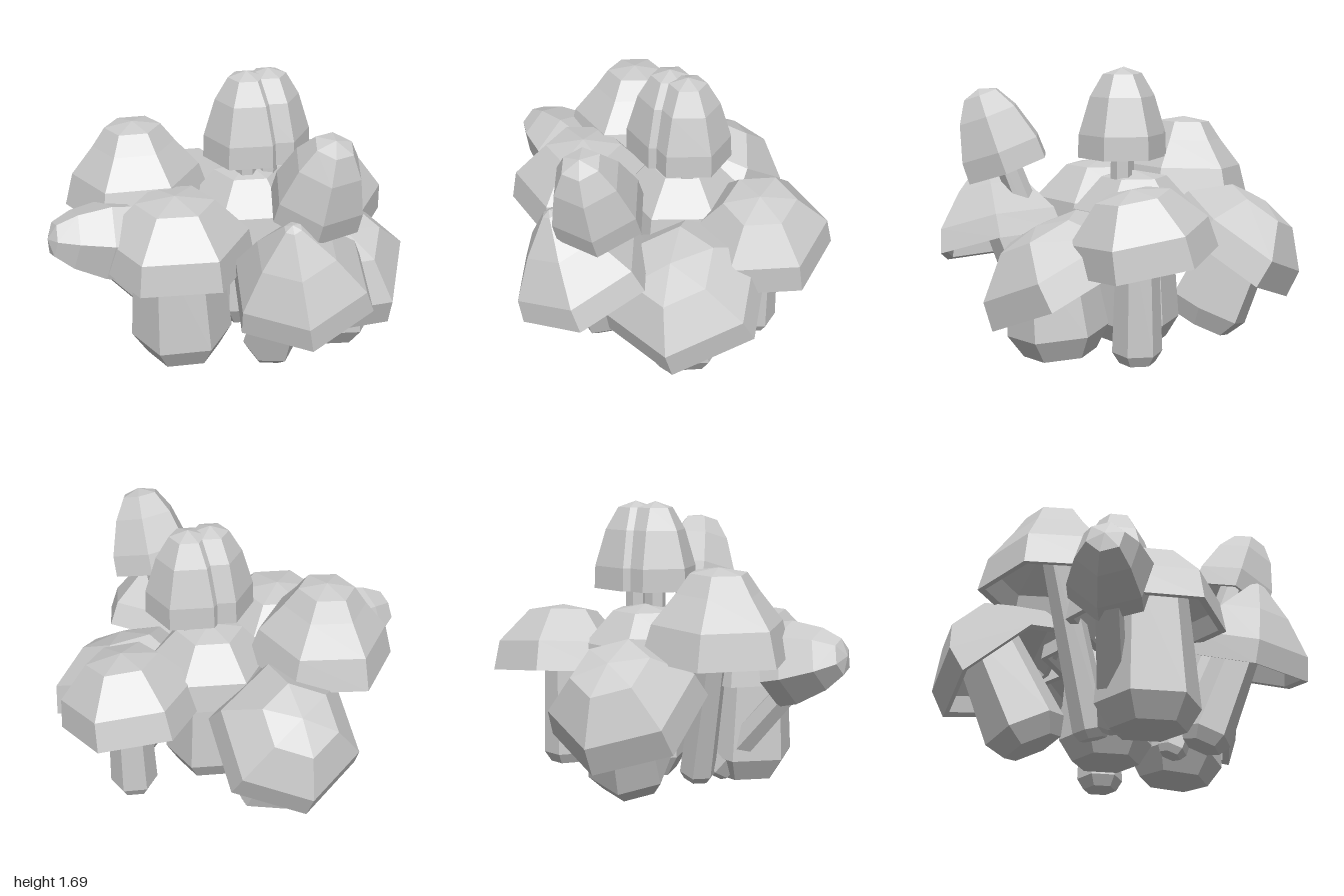
import * as THREE from 'three';

const material = new THREE.MeshStandardMaterial({ color: 0xcccccc, flatShading: true });
const UP = new THREE.Vector3(0, 1, 0);
const SIDES = 6;
const vec = (a) => new THREE.Vector3(...a);

// Outer cap profiles as [radius, height] fractions, from rim to tip
const dome = [[1, 0], [0.93, 0.43], [0.5, 0.91], [0, 1]];
const bell = [[1, 0], [0.87, 0.39], [0.56, 0.72], [0.38, 0.94], [0, 1]];
const tall = [[1, 0], [0.98, 0.26], [0.72, 0.68], [0.42, 0.93], [0, 1]];
const cone = [[1, 0], [0.93, 0.26], [0.55, 0.64], [0.12, 0.96], [0, 1]];
// Hollow underside, from the ceiling out to the inner rim
const underside = [[0, 0.55], [0.42, 0.52], [0.81, 0.25], [0.9, 0.01]];

// Six-sided solid of revolution standing at a point along an axis
function turned(name, points, at, axis, spin = 0) {
  const geometry = new THREE.LatheGeometry(points.map(([r, y]) => new THREE.Vector2(r, y)), SIDES);
  const mesh = new THREE.Mesh(geometry.rotateY(spin), material);
  mesh.name = name;
  mesh.position.copy(at);
  mesh.quaternion.setFromUnitVectors(UP, axis);
  return mesh;
}

// rim: centre of the cap's rim; tilt: its axis; foot: base of the stem
function mushroom(name, profile, { rim, r, h, tilt = [0, 1, 0], spin, foot, stemR }) {
  const group = new THREE.Group();
  group.name = name;
  const centre = vec(rim);
  const axis = vec(tilt).normalize();
  const capPoints = [...underside, ...profile].map(([a, b]) => [a * r, b * h]);
  group.add(turned('cap', capPoints, centre, axis, spin));

  // Stem with a chamfered foot, ending inside the cap
  const base = vec(foot);
  const stemAxis = centre.clone().addScaledVector(axis, 0.57 * h).sub(base);
  const length = stemAxis.length();
  const stemPoints = [[0, 0], [0.72 * stemR, 0], [stemR, 0.45 * stemR], [0.8 * stemR, length], [0, length]];
  group.add(turned('stem', stemPoints, base, stemAxis.normalize()));
  return group;
}

export function createModel() {
  const model = new THREE.Group();
  model.name = 'mushroomCluster';

  // Upright domes
  model.add(mushroom('frontMushroom', dome, {
    rim: [-0.2, 0.63, 0.5], r: 0.465, h: 0.425, foot: [-0.18, 0.01, 0.48], stemR: 0.305,
  }));
  model.add(mushroom('centreMushroom', dome, {
    rim: [0, 0.65, -0.1], r: 0.4, h: 0.4, foot: [0, 0.01, -0.1], stemR: 0.28,
  }));
  model.add(mushroom('backMushroom', dome, {
    rim: [0.29, 0.6, -0.57], r: 0.43, h: 0.42, tilt: [0.18, 1, 0.06],
    foot: [0.32, 0.01, -0.54], stemR: 0.145,
  }));

  // Domes leaning outward
  model.add(mushroom('rightWideMushroom', dome, {
    rim: [0.51, 0.41, -0.13], r: 0.52, h: 0.4, tilt: [0.37, 0.88, 0.28], spin: 0.25,
    foot: [0.55, 0.01, -0.1], stemR: 0.3,
  }));
  model.add(mushroom('backLeftMushroom', dome, {
    rim: [-0.57, 0.5, -0.32], r: 0.46, h: 0.41, tilt: [-0.42, 0.8, -0.38], spin: 0.79,
    foot: [-0.41, 0.06, -0.27], stemR: 0.25,
  }));

  // Bell and pointed caps
  model.add(mushroom('leftBellMushroom', bell, {
    rim: [-0.61, 0.82, 0.18], r: 0.445, h: 0.51, tilt: [-0.04, 1, 0],
    foot: [-0.3, 0.02, 0.15], stemR: 0.11,
  }));
  model.add(mushroom('pointedMushroom', cone, {
    rim: [0.58, 0.57, 0.47], r: 0.43, h: 0.56, tilt: [0, 0.93, 0.33], spin: 0.48,
    foot: [0.33, 0.06, 0.37], stemR: 0.16,
  }));

  // Tall narrow caps
  model.add(mushroom('rightTallMushroom', tall, {
    rim: [0.6, 1.06, 0.37], r: 0.275, h: 0.51, tilt: [0.28, 0.94, 0.18], spin: 0.45,
    foot: [0.24, 0.03, 0.2], stemR: 0.09,
  }));
  model.add(mushroom('leaningFrontMushroom', tall, {
    rim: [-0.52, 0.74, 0.57], r: 0.25, h: 0.45, tilt: [-0.62, 0.18, 0.62],
    foot: [-0.26, 0.04, 0.28], stemR: 0.09,
  }));
  for (const [name, x, z] of [['topFrontMushroom', 0.025, -0.03], ['topBackMushroom', 0.12, -0.13]]) {
    model.add(mushroom(name, tall, {
      rim: [x, 1.14, z], r: 0.26, h: 0.53, foot: [x, 0.02, z], stemR: 0.075,
    }));
  }
  return model;
}
